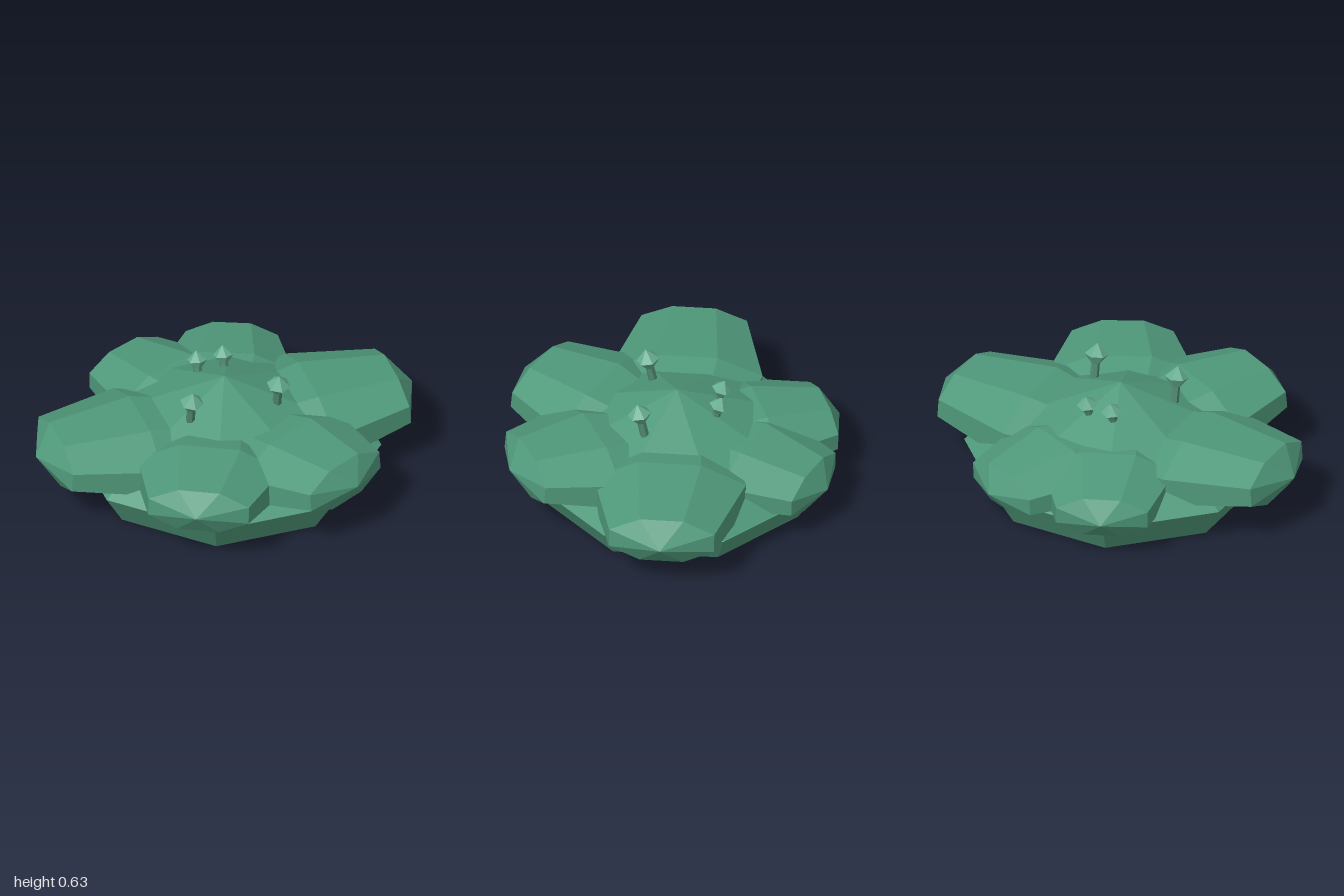
import * as THREE from 'three';

const mat = (color) => new THREE.MeshStandardMaterial({ color, flatShading: true });
const V2 = (pairs) => pairs.map(([r, y]) => new THREE.Vector2(r, y));

// Faceted solid of revolution whose flat sides (not corners) lie at radius r
function facetedLathe(profile, sides) {
  const k = 1 / Math.cos(Math.PI / sides);
  const geo = new THREE.LatheGeometry(V2(profile.map(([r, y]) => [r * k, y])), sides);
  return geo.rotateY(Math.PI / sides);
}

export function createModel() {
  const group = new THREE.Group();
  const green = mat(0x4f987a);
  const bulbGreen = mat(0x66ad90);
  const stalkGreen = mat(0x4f8a72);

  const add = (name, geo, material, parent = group) => {
    const mesh = new THREE.Mesh(geo, material);
    mesh.name = name;
    parent.add(mesh);
    return mesh;
  };

  // Octagonal body: flat base, flared rim, low peaked top
  const body = facetedLathe([[0, 0], [0.635, 0], [0.73, 0.17], [0.5, 0.335], [0, 0.56]], 8);
  add('body', body.translate(0, 0, -0.025), green);

  // Flattened eight-sided lobe: from its widest ring at `mid` out to `tip`
  const lobeProfile = [[0, -1], [0.69, -0.81], [1, 0], [0.69, 0.81], [0, 1]];
  function lobe(name, mid, tip, halfWidth, halfHeight) {
    const centre = new THREE.Vector3(...mid);
    const axis = new THREE.Vector3(...tip).sub(centre);
    const length = axis.length();
    axis.normalize();
    const across = new THREE.Vector3(0, 1, 0).cross(axis).normalize();
    const up = across.clone().cross(axis);
    const geo = facetedLathe(lobeProfile, 8);
    geo.scale(halfWidth, length, halfHeight);
    geo.applyMatrix4(new THREE.Matrix4().makeBasis(across, axis, up).setPosition(centre));
    add(name, geo, green);
  }

  // Stalk with a six-sided bulb, leaning along z
  function stalk(name, x, y, z, height, size, lean) {
    const part = new THREE.Group();
    part.name = name;
    part.position.set(x, y, z);
    part.rotation.x = lean;
    const stem = new THREE.CylinderGeometry(0.021, 0.024, height, 6);
    add(name + 'Stem', stem.translate(0, height / 2, 0), stalkGreen, part);
    const bulb = new THREE.LatheGeometry(V2([[0, -0.9], [0.35, -0.85], [1, 0], [0, 1]]), 6);
    bulb.scale(size, size, size).translate(0, height, 0);
    add(name + 'Bulb', bulb, bulbGreen, part);
    group.add(part);
  }

  for (const [side, s] of [['left', 1], ['right', -1]]) {
    lobe(side + 'SideLobe', [s * 0.46, 0.255, -0.03], [s, 0.292, -0.03], 0.385, 0.175);
    lobe(side + 'FrontLobe', [s * 0.22, 0.275, 0.385], [s * 0.43, 0.32, 0.78], 0.37, 0.162);
    lobe(side + 'BackLobe', [s * 0.15, 0.24, -0.42], [s * 0.32, 0.225, -0.815], 0.335, 0.155);
    stalk(side + 'FrontStalk', s * 0.23, 0.38, 0.105, 0.19, 0.06, 0.2);
    stalk(side + 'BackStalk', s * 0.07, 0.42, -0.215, 0.11, 0.052, -0.28);
  }

  return group;
}
